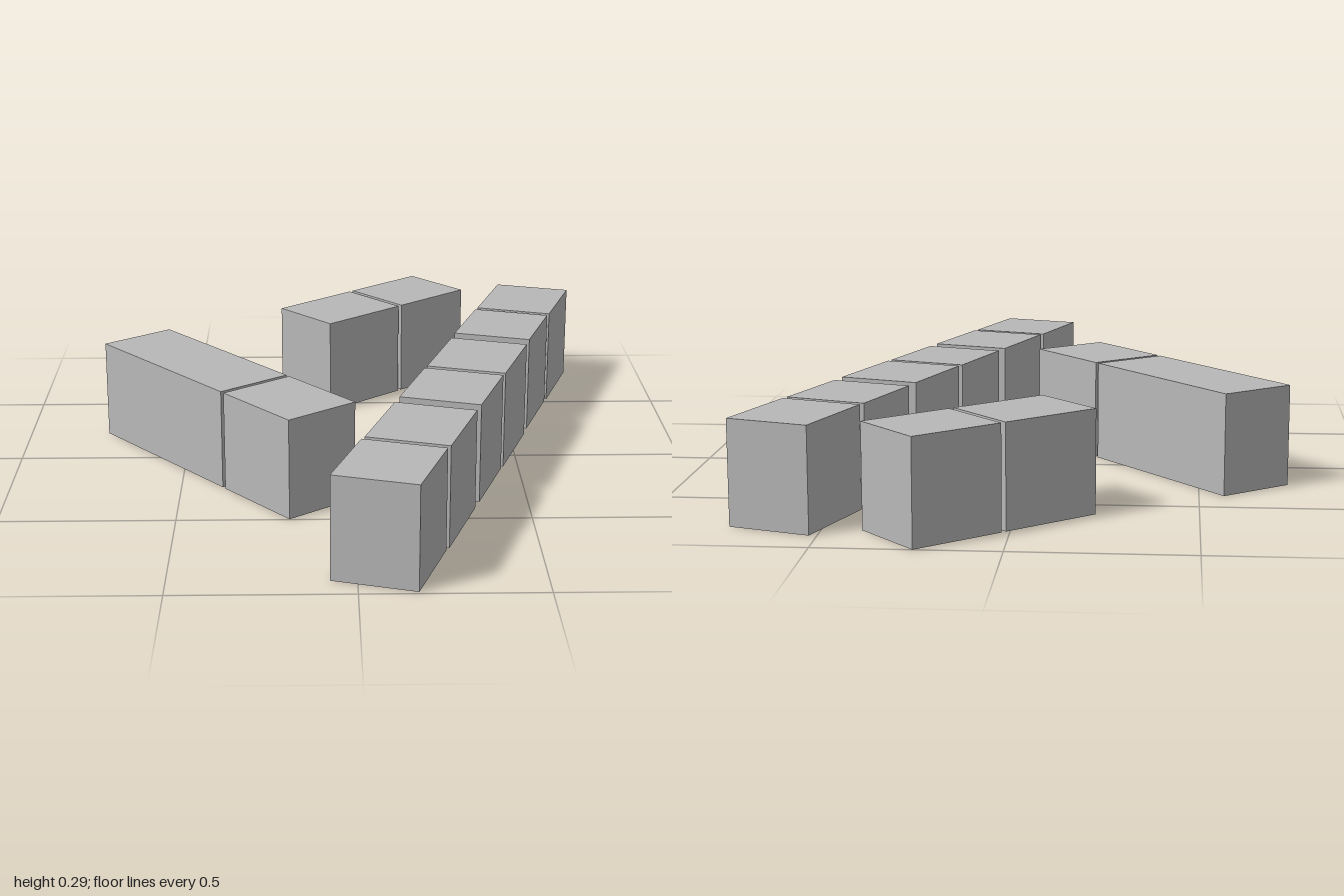
import * as THREE from 'three';

const HEIGHT = 0.295;
const WIDTH = 0.24;

// Each run of blocks shares one heading; blocks are [x, z, length]
const RUNS = [
  { name: 'longRow', angle: 1.256, blocks: [
    [0.589, -0.704, 0.3], [0.491, -0.411, 0.28],
    [0.388, -0.085, 0.3], [0.29, 0.208, 0.28],
    [0.185, 0.529, 0.3], [0.086, 0.82, 0.28]] },
  { name: 'backPair', angle: 0.72, blocks: [
    [0.206, -0.817, 0.281], [-0.024, -0.614, 0.303]] },
  { name: 'sidePair', angle: -0.894, blocks: [
    [-0.475, -0.061, 0.604], [-0.183, 0.304, 0.303]] },
];

export function createModel() {
  const model = new THREE.Group();
  model.name = 'buildingBlocks';
  const grey = new THREE.MeshStandardMaterial({ color: 0xb8b8b8 });
  grey.name = 'plain grey';

  for (const { name, angle, blocks } of RUNS) {
    const run = new THREE.Group();
    run.name = name;
    blocks.forEach(([x, z, length], i) => {
      const block = new THREE.Mesh(new THREE.BoxGeometry(length, HEIGHT, WIDTH), grey);
      block.name = `${name}Block${i + 1}`;
      block.position.set(x, HEIGHT / 2, z);
      block.rotation.y = angle;
      run.add(block);
    });
    model.add(run);
  }
  return model;
}
